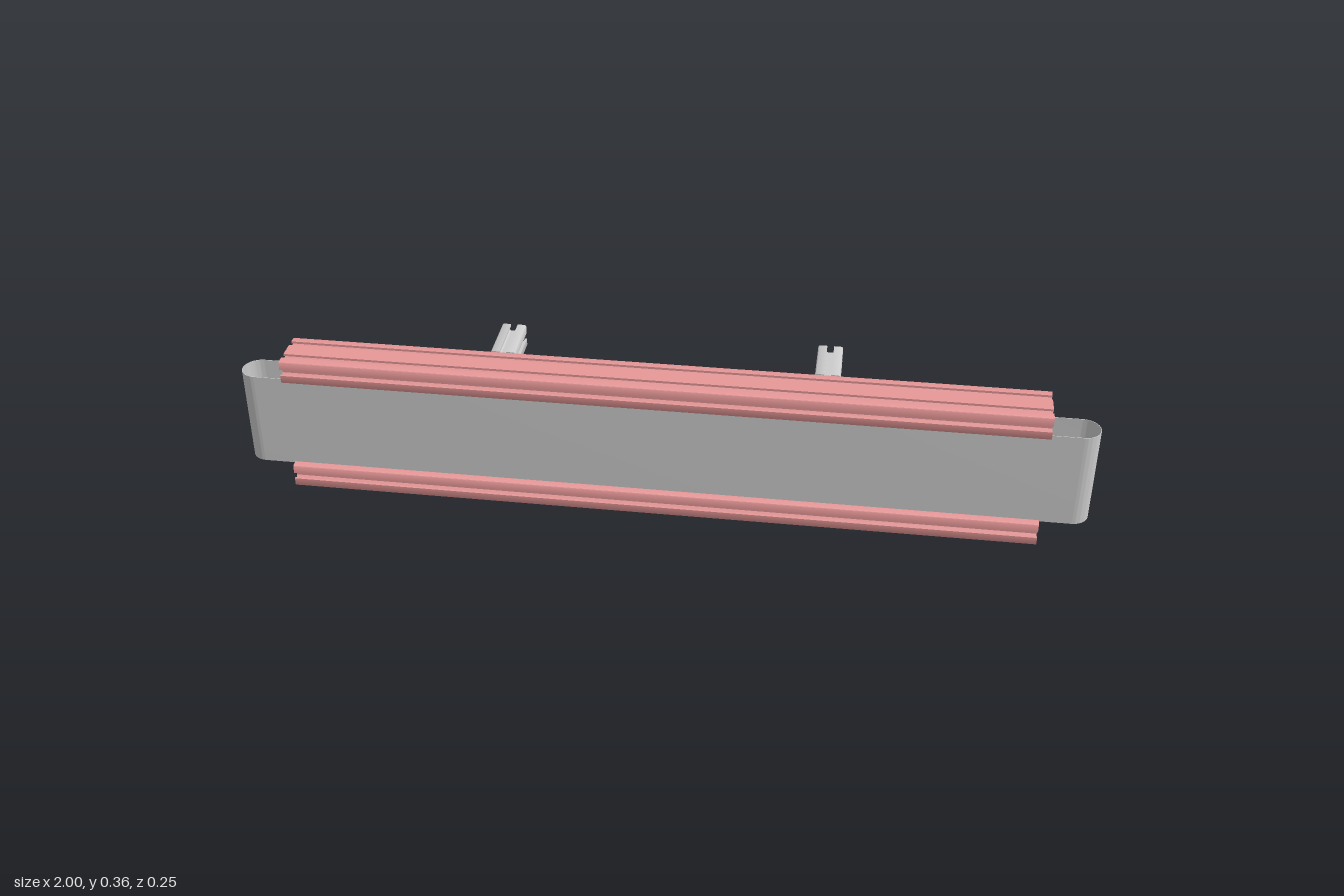
import * as THREE from 'three';
import { toCreasedNormals } from 'three/addons/utils/BufferGeometryUtils.js';

const CELL = 0.0585;          // side of one slotted extrusion cell
const U = CELL / 20;          // profile is drawn on a 20 x 20 cell
const v = (x, y) => new THREE.Vector2(x * U, y * U);

// Slotted extrusion profile, made of cells placed side by side along x
function profileShape(cells) {
  const centres = Array.from({ length: cells }, (_, i) => (cells - 1 - 2 * i) * 10);
  const flip = (pts) => pts.map(([x, y]) => [-x, y]).reverse();
  const shift = (pts, dx) => pts.map(([x, y]) => [x + dx, y]);

  // Upper half of an end slot with its rounded corner, and one half of a top slot
  const end = [[4, 2.94], [8.2, 7.14], [8.2, 2.75], [10, 2.75]];
  for (let i = 0; i <= 4; i++) {
    const a = (i / 4) * Math.PI / 2;
    end.push([8.2 + 1.8 * Math.cos(a), 8.2 + 1.8 * Math.sin(a)]);
  }
  const slot = [[2.75, 10], [2.75, 8.2], [7.14, 8.2], [2.94, 4]];

  const upper = [...shift(end, centres[0])];
  centres.forEach((c) => upper.push(...shift([...slot, ...flip(slot)], c)));
  upper.push(...shift(flip(end), centres[cells - 1]));
  const outline = [...upper, ...upper.map(([x, y]) => [-x, -y])];
  const shape = new THREE.Shape(outline.map(([x, y]) => v(x, y)));

  // Centre bores
  centres.forEach((c) => {
    shape.holes.push(new THREE.Path().absarc(c * U, 0, 2.5 * U, 0, Math.PI * 2, true));
  });
  // Hollows between neighbouring cells
  for (let i = 0; i < cells - 1; i++) {
    const m = centres[i] - 10;
    const half = [[6, 2.94], [0.74, 8.2], [-0.74, 8.2], [-6, 2.94]];
    const loop = [...half, ...half.map(([x, y]) => [-x, -y])];
    shape.holes.push(new THREE.Path(loop.map(([x, y]) => v(x + m, y))));
  }
  return shape;
}

// Extrusion centred on its own length, smooth on curves and sharp on edges
function extrude(shape, depth, curveSegments) {
  const g = new THREE.ExtrudeGeometry(shape, { depth, curveSegments, bevelEnabled: false });
  g.translate(0, 0, -depth / 2);
  return toCreasedNormals(g, 0.6);
}

// Stadium loop with straight half-length h and end radius r
function stadium(path, h, r) {
  path.absarc(h, 0, r, -Math.PI / 2, Math.PI / 2, false);
  path.absarc(-h, 0, r, Math.PI / 2, Math.PI * 1.5, false);
  path.closePath();
  return path;
}

export function createModel() {
  const group = new THREE.Group();
  const grey = new THREE.MeshStandardMaterial({ color: 0xcccccc });
  const red = new THREE.MeshStandardMaterial({ color: 0xe89898 });
  const belts = new THREE.MeshStandardMaterial({ color: 0xcccccc, side: THREE.DoubleSide });

  const add = (name, geometry, material, x, y, z) => {
    const mesh = new THREE.Mesh(geometry, material);
    mesh.name = name;
    mesh.position.set(x, y, z);
    group.add(mesh);
  };

  // Long double rails above and below the belt
  const rail = extrude(profileShape(2), 1.772, 12).rotateY(Math.PI / 2);
  add('upperRail', rail, red, 0, 0.327, 0.0655);
  add('lowerRail', rail, red, 0, 0.036, 0.0655);

  // Thin belt loop standing on edge
  const radius = 0.04;
  const loop = stadium(new THREE.Shape(), 1 - radius, radius);
  loop.holes.push(stadium(new THREE.Path(), 1 - radius, radius - 0.0015));
  const belt = extrude(loop, 0.236, 24).rotateX(-Math.PI / 2);
  add('belt', belt, belts, 0, 0.18, 0.065);

  // Short single-cell brackets pointing to the back
  const stub = extrude(profileShape(1), 0.131, 12);
  for (const [side, x] of [['left', 0.38], ['right', -0.38]]) {
    add(side + 'UpperBracket', stub, grey, x, 0.327, -0.0585);
    add(side + 'LowerBracket', stub, grey, x, CELL / 2, -0.0585);
  }
  return group;
}
